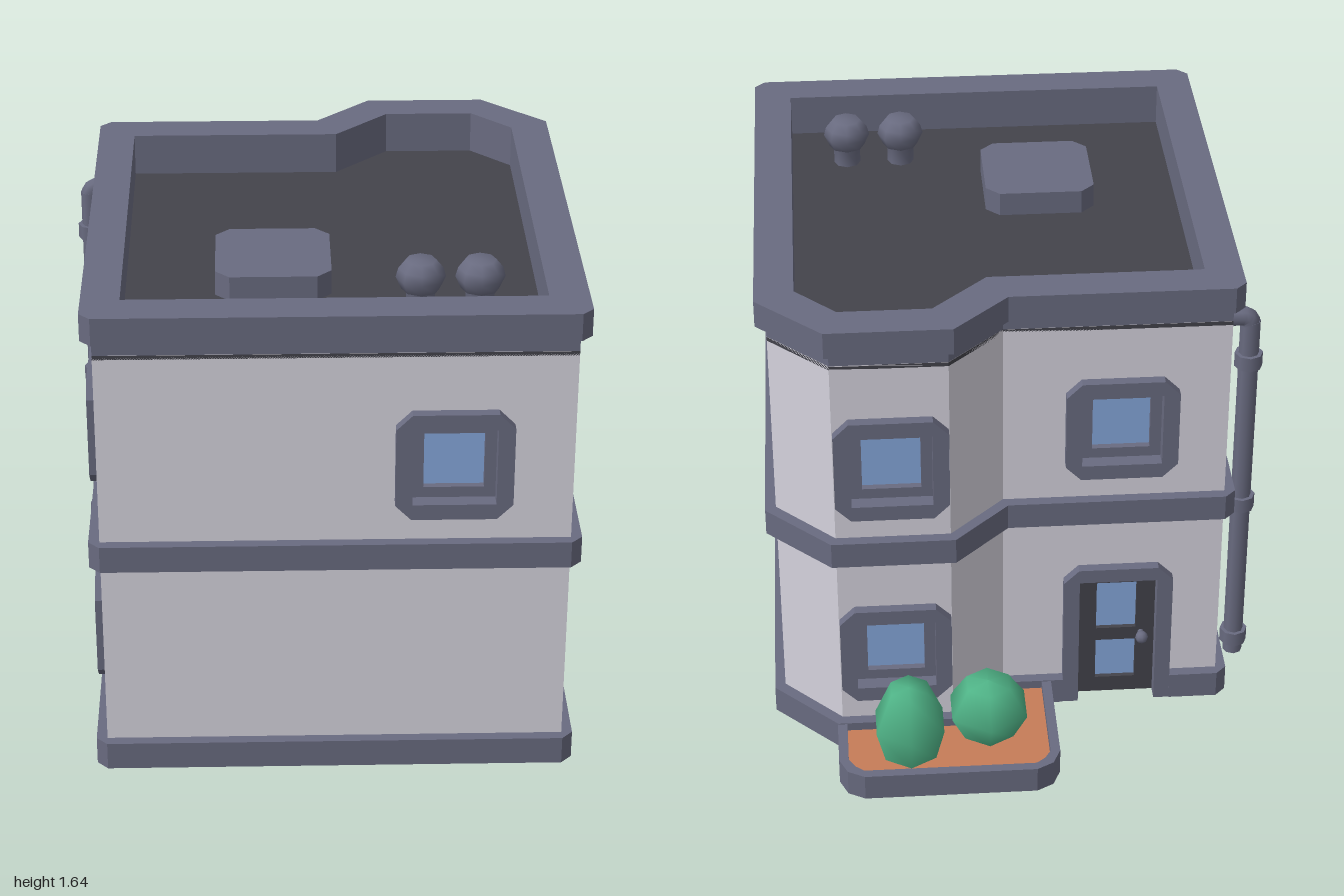
import * as THREE from 'three';

const mat = (name, color, extra = {}) => Object.assign(new THREE.MeshStandardMaterial({ color, ...extra }), { name });

export function createModel() {
  const M = {
    wall: mat('wall plaster', 0xd6d4de),
    trim: mat('slate trim', 0x696b80),
    dark: mat('dark roofing', 0x43434b),
    glass: mat('blue glass', 0x86a8dc),
    soil: mat('clay soil', 0xc67c58),
    leaf: mat('green leaf', 0x4fb286),
  };
  const model = new THREE.Group();
  model.name = 'house';

  // ---- helpers ----
  const add = (name, geo, material, parent = model, x = 0, y = 0, z = 0) => {
    const m = new THREE.Mesh(geo, material);
    m.name = name;
    m.position.set(x, y, z);
    parent.add(m);
    return m;
  };
  const shape = (pts, holes = []) => {
    const s = new THREE.Shape(pts.map(([x, y]) => new THREE.Vector2(x, y)));
    for (const h of holes) s.holes.push(new THREE.Path(h.map(([x, y]) => new THREE.Vector2(x, y))));
    return s;
  };
  const extrude = (s, depth) => new THREE.ExtrudeGeometry(s, { depth, bevelEnabled: false });
  const rect = (x, y, w, h) => [
    [x - w / 2, y - h / 2], [x + w / 2, y - h / 2], [x + w / 2, y + h / 2], [x - w / 2, y + h / 2]];
  const chamfered = (w, c) => {
    const a = w / 2, b = a - c;
    return [[-b, -a], [b, -a], [a, -b], [a, b], [b, a], [-b, a], [-a, b], [-a, -b]];
  };
  // Plan outlines are lists of [x, z]; a slab rises from y0 to y1
  const plan = (pts) => pts.map(([x, z]) => [x, -z]);
  const slab = (name, pts, y0, y1, material, hole) =>
    add(name, extrude(shape(plan(pts), hole ? [plan(hole)] : []), y1 - y0).rotateX(-Math.PI / 2),
      material, model, 0, y0, 0);

  // ---- plan outlines ----
  const body = [[-0.695, 0.965], [0.775, 0.965], [0.775, -0.5], [0.585, -0.69],
    [0.215, -0.69], [0.035, -0.51], [-0.695, -0.51]];
  const bandFront = [[-0.73, 0.965], [-0.695, 1], [0.775, 1], [0.81, 0.965], [0.81, -0.52],
    [0.6, -0.727], [0.2, -0.727], [0.02, -0.547]];
  const bandBack = [[-0.695, -0.547], [-0.73, -0.512]];
  const band = [...bandFront, ...bandBack];
  const doorNotch = [[-0.1675, -0.547], [-0.1675, -0.46], [-0.5325, -0.46], [-0.5325, -0.547]];
  const parapet = [[-0.61, 0.87], [0.685, 0.87], [0.685, -0.465], [0.555, -0.6],
    [0.26, -0.6], [0.08, -0.42], [-0.61, -0.42]];

  // ---- horizontal bands and roof ----
  slab('basePlinth', [...bandFront, ...doorNotch, ...bandBack], 0, 0.095, M.trim);
  slab('middleBand', band, 0.74, 0.83, M.trim);
  slab('roofFrieze', body, 1.48, 1.53, M.trim, parapet);
  slab('roofParapet', band, 1.53, 1.62, M.trim, parapet);
  slab('roofFloor', body, 1.465, 1.479, M.dark);

  // ---- windows and door, built facing +z on the wall plane ----
  const makeWindow = (parent, u, y) => {
    const g = new THREE.Group();
    g.name = 'window';
    g.position.set(u, y, 0);
    parent.add(g);
    add('outerFrame', extrude(shape(chamfered(0.365, 0.05), [rect(0, 0, 0.26, 0.26)]), 0.08), M.trim, g, 0, 0, -0.045);
    add('innerFrame', extrude(shape(rect(0, 0, 0.262, 0.262), [rect(0, 0, 0.188, 0.188)]), 0.035), M.trim, g, 0, 0, -0.05);
    add('windowPane', new THREE.BoxGeometry(0.2, 0.2, 0.008), M.glass, g, 0, 0, -0.042);
  };
  const makeDoor = (parent, u) => {
    const g = new THREE.Group();
    g.name = 'door';
    g.position.set(u, 0, 0);
    parent.add(g);
    const a = 0.1825, b = 0.13;
    add('doorFrame', extrude(shape([[-a, 0], [-b, 0], [-b, 0.5], [b, 0.5], [b, 0],
      [a, 0], [a, 0.5], [a - 0.05, 0.55], [0.05 - a, 0.55], [-a, 0.5]]), 0.085), M.trim, g, 0, 0, -0.05);
    add('doorPanel', extrude(shape(rect(0, 0.25, 0.262, 0.5),
      [rect(0, 0.365, 0.135, 0.19), rect(0, 0.14, 0.135, 0.16)]), 0.03), M.dark, g, 0, 0, -0.045);
    for (const [y, h] of [[0.365, 0.2], [0.14, 0.17]])
      add('doorPane', new THREE.BoxGeometry(0.145, h, 0.008), M.glass, g, 0, y, -0.035);
    add('doorKnob', new THREE.SphereGeometry(0.022, 8, 6), M.trim, g, 0.085, 0.25, 0.018);
    add('knobStem', new THREE.CylinderGeometry(0.01, 0.01, 0.04, 8).rotateX(Math.PI / 2), M.trim, g, 0.085, 0.25, -0.005);
  };

  // ---- walls: one panel per side of the body outline ----
  const LOW = 0.37, HIGH = 1.1;
  const openings = {
    0: [[1.1, HIGH]],
    3: [[0.185, LOW], [0.185, HIGH]],
    5: [[0.385, HIGH]],
    6: [[1.11, LOW], [1.11, HIGH]],
  };
  const doorSide = 5, doorAt = 0.385;
  body.forEach(([x, z], i) => {
    const [x2, z2] = body[(i + 1) % body.length];
    const len = Math.hypot(x2 - x, z2 - z);
    const side = new THREE.Group();
    side.name = 'wallSide';
    side.position.set(x, 0, z);
    side.rotation.y = Math.atan2(z - z2, x2 - x);
    model.add(side);
    const wins = openings[i] || [];
    const notch = i === doorSide
      ? [[doorAt - 0.14, 0.09], [doorAt - 0.14, 0.51], [doorAt + 0.14, 0.51], [doorAt + 0.14, 0.09]] : [];
    const outline = [[0, 0.09], ...notch, [len, 0.09], [len, 1.48], [0, 1.48]];
    add('wallPanel', new THREE.ShapeGeometry(shape(outline, wins.map(([u, y]) => rect(u, y, 0.29, 0.29)))), M.wall, side);
    wins.forEach(([u, y]) => makeWindow(side, u, y));
    if (i === doorSide) makeDoor(side, doorAt);
  });

  // ---- roof hatch and vents ----
  slab('roofHatch', chamfered(0.365, 0.045).map(([x, y]) => [x - 0.145, 0.41 - y]), 1.479, 1.56, M.trim);
  const ventProfile = [[0.045, 0], [0.045, 0.06], [0.06, 0.065], [0.078, 0.105], [0.07, 0.135], [0.048, 0.162], [0, 0.162]];
  for (const x of [0.31, 0.495])
    add('roofVent', new THREE.LatheGeometry(ventProfile.map((p) => new THREE.Vector2(...p)), 8), M.trim, model, x, 1.479, 0.65);

  // ---- drainpipe ----
  const pipe = new THREE.Group();
  pipe.name = 'drainpipe';
  pipe.position.set(-0.767, 0, -0.41);
  model.add(pipe);
  const tube = (name, r, y0, y1) =>
    add(name, new THREE.CylinderGeometry(r, r, y1 - y0, 8), M.trim, pipe, 0, (y0 + y1) / 2, 0);
  tube('pipeShaft', 0.033, 0.095, 1.42);
  for (const y of [0.16, 0.72, 1.275]) tube('pipeCollar', 0.046, y - 0.025, y + 0.025);
  const bend = new THREE.CurvePath();
  const v = (x, y) => new THREE.Vector3(x, y, 0);
  bend.add(new THREE.QuadraticBezierCurve3(v(0, 1.405), v(0, 1.438), v(0.03, 1.438)));
  bend.add(new THREE.LineCurve3(v(0.03, 1.438), v(0.09, 1.438)));
  add('pipeElbow', new THREE.TubeGeometry(bend, 8, 0.033, 8), M.trim, pipe);

  // ---- planter with shrubs ----
  const bed = (t) => [[0.602 - t, -0.53], [0.602 - t, -0.91], [0.575 - t * 0.8, -0.97 + t * 0.8], [0.52, -1 + t],
    [-0.045, -1 + t], [-0.1 + t * 0.8, -0.97 + t * 0.8], [-0.127 + t, -0.91], [-0.127 + t, -0.53]];
  slab('planterRim', bed(0), 0, 0.092, M.trim, bed(0.032));
  slab('planterFloor', bed(0.03), 0.001, 0.02, M.trim);
  slab('planterSoil', bed(0.03), 0.02, 0.065, M.soil);
  const shrub = (x, z, profile) =>
    add('shrub', new THREE.LatheGeometry(profile.map((p) => new THREE.Vector2(...p)), 6), M.leaf, model, x, 0.06, z);
  shrub(0.365, -0.84, [[0.095, 0], [0.128, 0.125], [0.068, 0.265], [0, 0.268]]);
  shrub(0.1, -0.75, [[0.09, 0], [0.143, 0.105], [0.08, 0.2], [0, 0.212]]);

  return model;
}
